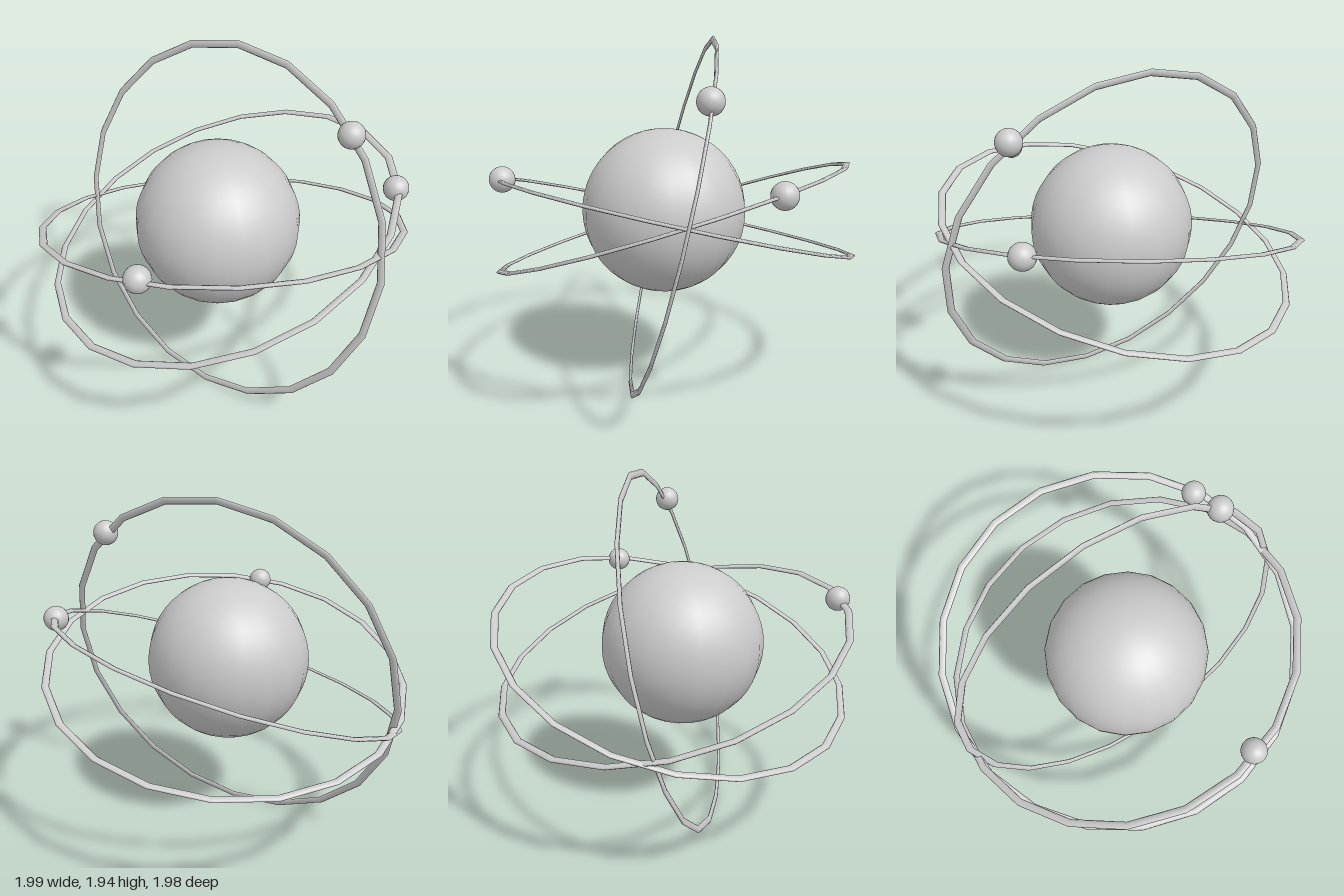
import * as THREE from 'three';

const material = new THREE.MeshStandardMaterial({ color: 0xcccccc });
const TUBE = 0.02, FLATNESS = 0.45, ORBIT_RADIUS = 0.98;

// One flattened 20-sided ring per orbit: centre, plane normal, direction of its first corner, ball position
const a = THREE.MathUtils.degToRad(20), b = THREE.MathUtils.degToRad(9);
const orbits = [
  {
    name: 'sideTilted', centre: [-0.012, 0.98, 0], normal: [-Math.sin(a), Math.cos(a), 0],
    corner: [Math.sin(b) * Math.cos(a), Math.sin(b) * Math.sin(a), Math.cos(b)], ball: [0.816, 1.278, 0.4],
  },
  {
    name: 'frontTilted', centre: [0, 0.98, 0], normal: [0.08, 1, -0.3],
    corner: [-0.997, 0.1, 0.067], ball: [-0.617, 1.246, 0.685],
  },
  {
    name: 'upright', centre: [-0.016, 0.98, 0.027], normal: [-0.813, 0.236, 0.533],
    corner: [0.158, 0.971, -0.19], ball: [0.48, 1.69, 0.49],
  },
];

function addMesh(parent, name, geometry, position) {
  const mesh = new THREE.Mesh(geometry, material);
  mesh.name = name;
  mesh.position.set(...position);
  parent.add(mesh);
  return mesh;
}

export function createModel() {
  const group = new THREE.Group();
  group.name = 'atom';

  // Large central ball
  addMesh(group, 'nucleus', new THREE.SphereGeometry(0.446, 20, 24), [-0.04, 1.02, 0.047]);

  // Orbit rings, each carrying a small ball
  const ringGeometry = new THREE.TorusGeometry(ORBIT_RADIUS, TUBE, 8, 20).scale(1, 1, FLATNESS);
  const ballGeometry = new THREE.SphereGeometry(0.067, 20, 16);
  for (const { name, centre, normal, corner, ball } of orbits) {
    const n = new THREE.Vector3(...normal).normalize();
    const u = new THREE.Vector3(...corner).projectOnPlane(n).normalize();
    const v = new THREE.Vector3().crossVectors(n, u);
    const ring = addMesh(group, `${name}OrbitRing`, ringGeometry, centre);
    ring.quaternion.setFromRotationMatrix(new THREE.Matrix4().makeBasis(u, v, n));
    addMesh(group, `${name}Electron`, ballGeometry, ball);
  }
  return group;
}
